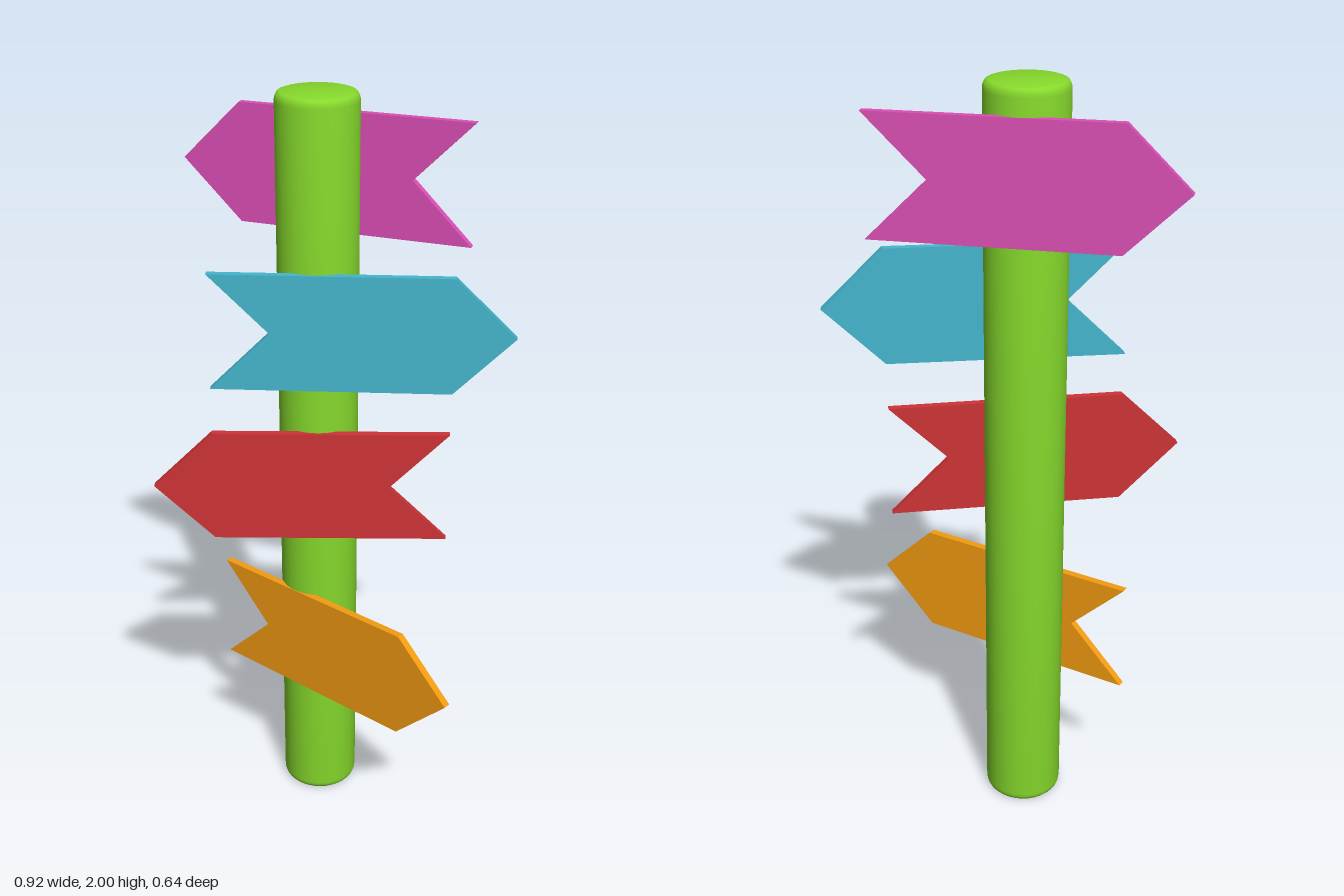
import * as THREE from 'three';
import { toCreasedNormals } from 'three/addons/utils/BufferGeometryUtils.js';

const THICKNESS = 0.02;

// Arrow board along +x: notched tail, pointed tip
function arrowGeometry() {
  const h = 0.152;
  const shape = new THREE.Shape([
    [-0.305, -h], [0.305, -h], [0.46, 0], [0.305, h], [-0.305, h], [-0.152, 0],
  ].map(([x, y]) => new THREE.Vector2(x, y)));
  const geometry = new THREE.ExtrudeGeometry(shape, { depth: THICKNESS, bevelEnabled: false });
  return geometry.translate(0, 0, -THICKNESS / 2);
}

// Round post with softened rims
function postGeometry() {
  const r = 0.103, b = 0.022, height = 2;
  const profile = [new THREE.Vector2(0, 0)];
  for (const [y, start] of [[b, -Math.PI / 2], [height - b, 0]]) {
    for (let i = 0; i <= 4; i++) {
      const a = start + (i / 4) * Math.PI / 2;
      profile.push(new THREE.Vector2(r - b * 0.6 * (1 - Math.cos(a)), y + b * Math.sin(a)));
    }
  }
  profile.push(new THREE.Vector2(0, height));
  return toCreasedNormals(new THREE.LatheGeometry(profile, 32), 0.7);
}

export function createModel() {
  const model = new THREE.Group();
  const add = (name, geometry, color) => {
    const mesh = new THREE.Mesh(geometry, new THREE.MeshStandardMaterial({ color }));
    mesh.name = name;
    model.add(mesh);
    return mesh;
  };

  add('post', postGeometry(), 0x86d92c).position.set(-0.033, 0, -0.087);

  // Boards: centre position and the direction (x, z) the arrow points
  const boards = [
    ['pinkSign', 0xdb4fb5, [0.058, 1.783, -0.156], [-0.72, -0.26]],
    ['blueSign', 0x45b5cd, [0, 1.427, 0.0135], [0.765, 0.033]],
    ['redSign', 0xcd3336, [0, 1.003, 0.014], [-1, 0]],
    ['orangeSign', 0xf39c12, [-0.053, 0.516, 0.0185], [0.597, 0.482]],
  ];
  const arrow = arrowGeometry();
  for (const [name, color, position, [dx, dz]] of boards) {
    const sign = add(name, arrow, color);
    sign.position.set(...position);
    sign.rotation.y = Math.atan2(-dz, dx);
  }
  return model;
}
